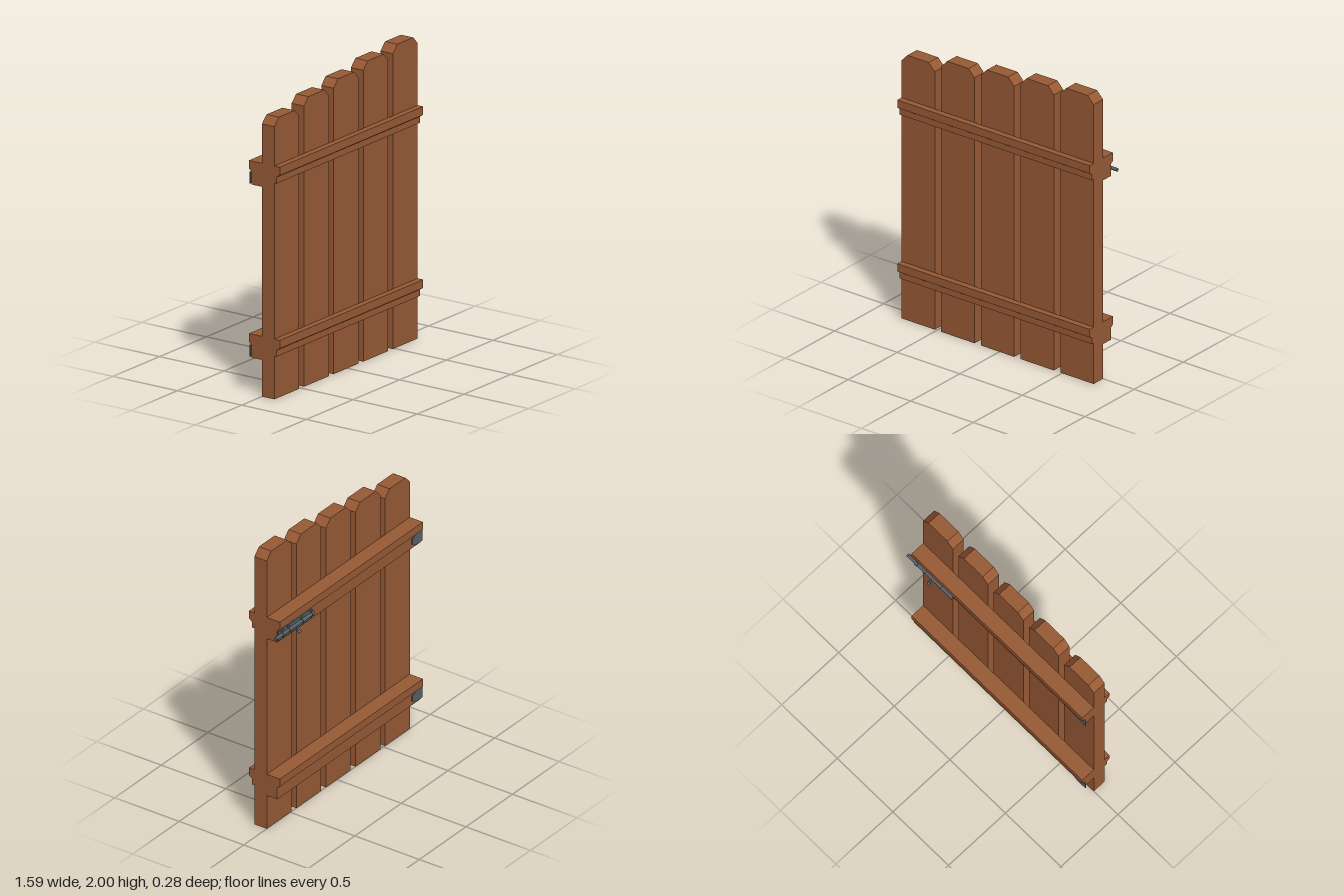
import * as THREE from 'three';

const wood = new THREE.MeshStandardMaterial({ color: 0x985a35 });
wood.name = 'wood';
const metal = new THREE.MeshStandardMaterial({ color: 0x596069 });
metal.name = 'metal';

function add(parent, name, geometry, material, x = 0, y = 0, z = 0) {
  const mesh = new THREE.Mesh(geometry, material);
  mesh.name = name;
  mesh.position.set(x, y, z);
  parent.add(mesh);
  return mesh;
}

function extrude(points, depth) {
  const shape = new THREE.Shape(points.map(([a, b]) => new THREE.Vector2(a, b)));
  return new THREE.ExtrudeGeometry(shape, { depth, bevelEnabled: false });
}

// Cylinder lying along x
function rod(radius, length, sides = 12) {
  return new THREE.CylinderGeometry(radius, radius, length, sides).rotateZ(Math.PI / 2);
}

// Rail with a (z, y) section, running along x
function rail(section) {
  return extrude(section, LENGTH).rotateY(-Math.PI / 2).translate(RIGHT, 0, 0);
}

const LEFT = -0.783, RIGHT = 0.752, LENGTH = RIGHT - LEFT;

export function createModel() {
  const gate = new THREE.Group();
  gate.name = 'gate';

  // Planks with clipped corners, rising towards the latch side
  const w = 0.266, c = 0.048, step = (LENGTH - w) / 4;
  [1.85, 1.903, 1.938, 1.973, 2].forEach((h, i) => {
    const outline = [[0, 0], [w, 0], [w, h - 0.05], [w - c, h], [c, h], [0, h - 0.05]];
    add(gate, 'plank' + (i + 1), extrude(outline, 0.096), wood, LEFT + i * step);
  });

  // Two pairs of stepped rails, each with a hinge plate at the back
  for (const [level, y] of [['lower', 0.397], ['upper', 1.54]]) {
    add(gate, level + 'FrontRail', rail([
      [0.096, 0], [0.096, -0.112], [0.114, -0.112], [0.114, -0.07], [0.138, -0.055], [0.138, 0],
    ]), wood, 0, y);
    add(gate, level + 'BackRail', rail([
      [0, 0], [-0.102, 0], [-0.102, -0.055], [-0.081, -0.07], [-0.081, -0.155], [0, -0.155],
    ]), wood, 0, y);
    add(gate, level + 'Hinge', extrude([
      [-0.797, -0.038], [-0.725, -0.038], [-0.69, -0.018], [-0.69, 0.018], [-0.725, 0.038], [-0.797, 0.038],
    ], 0.008), metal, 0, y - 0.107, -0.088);
  }

  // Sliding bolt on the upper back rail
  const bolt = new THREE.Group();
  bolt.name = 'bolt';
  bolt.position.set(0, 1.433, -0.097);
  gate.add(bolt);
  add(bolt, 'boltPlate', new THREE.BoxGeometry(0.355, 0.068, 0.008), metal, 0.57, -0.003, 0.012);
  add(bolt, 'boltRod', rod(0.0115, 0.385), metal, 0.599);
  for (const x of [0.4, 0.5, 0.64, 0.71]) {
    add(bolt, 'boltGuide', rod(0.0155, 0.022), metal, x);
    add(bolt, 'guideFoot', new THREE.BoxGeometry(0.022, 0.05, 0.004), metal, x, 0, 0.006);
  }

  // Handle slanting down and outwards
  const handle = new THREE.Group();
  handle.name = 'boltHandle';
  handle.position.x = 0.573;
  handle.rotation.x = 0.6;
  bolt.add(handle);
  add(handle, 'handleStem', new THREE.CylinderGeometry(0.007, 0.007, 0.045, 10), metal, 0, -0.022);
  add(handle, 'handleKnob', new THREE.CylinderGeometry(0.0095, 0.012, 0.02, 10), metal, 0, -0.045);

  return gate;
}
